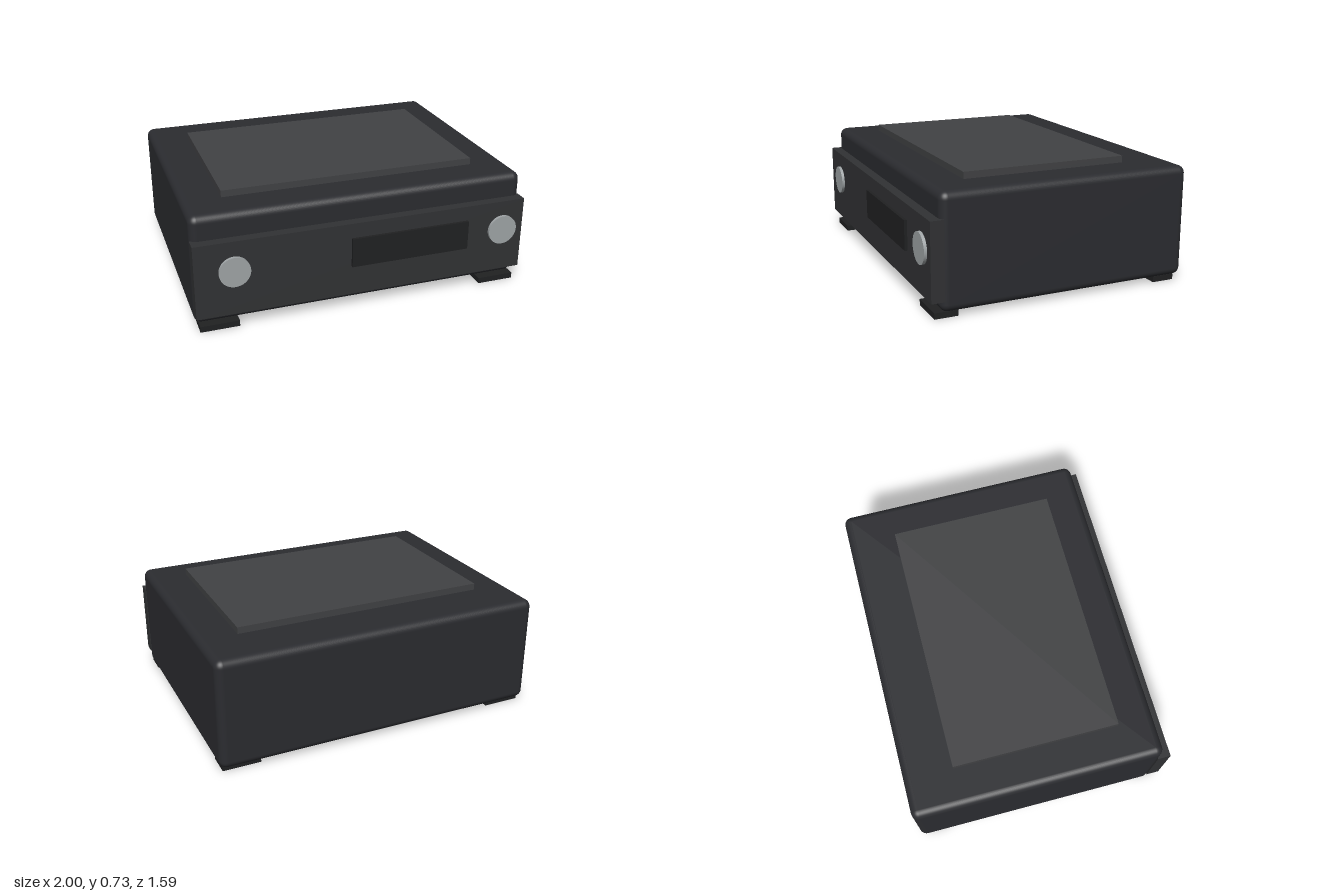
import * as THREE from 'three';
import { RoundedBoxGeometry } from 'three/addons/geometries/RoundedBoxGeometry.js';

export function createModel() {
  const model = new THREE.Group();
  model.name = 'audioUnit';

  const paint = (color) => new THREE.MeshStandardMaterial({ color });
  const caseMat = paint(0x2b2c30);
  const fasciaMat = paint(0x313234);
  const topMat = paint(0x414244);
  const darkMat = paint(0x202122);
  const knobMat = paint(0x9fa4a6);

  const add = (name, geometry, material, x, y, z) => {
    const mesh = new THREE.Mesh(geometry, material);
    mesh.name = name;
    mesh.position.set(x, y, z);
    model.add(mesh);
    return mesh;
  };

  // Box given by its min and max corners
  const addBox = (name, material, [x0, y0, z0], [x1, y1, z1]) =>
    add(name, new THREE.BoxGeometry(x1 - x0, y1 - y0, z1 - z0), material,
      (x0 + x1) / 2, (y0 + y1) / 2, (z0 + z1) / 2);

  // Rounded case
  add('case', new RoundedBoxGeometry(2, 0.66, 1.515, 5, 0.045), caseMat, 0, 0.36, -0.038);

  // Raised panel on the lid
  addBox('topPanel', topMat, [-0.773, 0.66, -0.5], [0.773, 0.73, 0.5]);

  // Front fascia and display window
  addBox('fascia', fasciaMat, [-1, 0.097, 0.7], [1, 0.547, 0.778]);
  addBox('display', darkMat, [-0.093, 0.28, 0.76], [0.633, 0.457, 0.795]);

  // Round knobs facing forward
  const knob = new THREE.CylinderGeometry(0.09, 0.09, 0.035, 48).rotateX(Math.PI / 2);
  add('rightKnob', knob, knobMat, -0.775, 0.367, 0.778);
  add('leftKnob', knob, knobMat, 0.862, 0.367, 0.778);

  // Four flat feet
  const foot = new THREE.BoxGeometry(0.227, 0.035, 0.136);
  for (const x of [-0.865, 0.865]) {
    add('frontFoot', foot, darkMat, x, 0.0175, 0.687);
    add('backFoot', foot, darkMat, x, 0.0175, -0.682);
  }

  return model;
}
